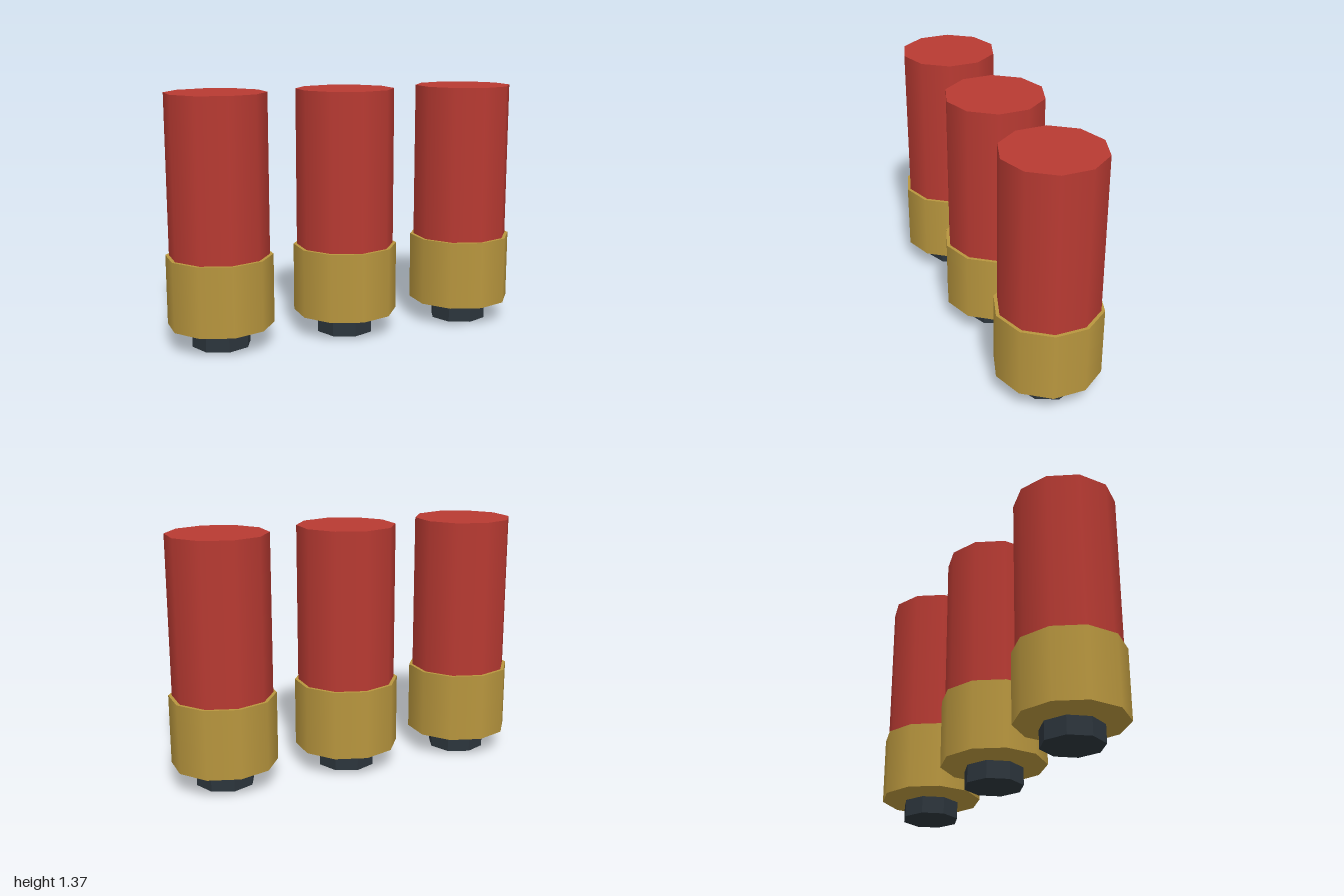
import * as THREE from 'three';

const red = new THREE.MeshStandardMaterial({ name: 'red casing', color: 0xb83a32 });
const brass = new THREE.MeshStandardMaterial({ name: 'brass', color: 0xb8963e });
const dark = new THREE.MeshStandardMaterial({ name: 'dark steel', color: 0x2c353c });
dark.flatShading = true;

// Upright cylinder between two heights
function addCylinder(parent, name, material, radius, y0, y1, sides) {
  const mesh = new THREE.Mesh(new THREE.CylinderGeometry(radius, radius, y1 - y0, sides), material);
  mesh.name = name;
  mesh.position.y = (y0 + y1) / 2;
  parent.add(mesh);
}

function createShell() {
  const shell = new THREE.Group();
  shell.name = 'shell';
  addCylinder(shell, 'casing', red, 0.271, 0.49, 1.373, 10);
  addCylinder(shell, 'brassBase', brass, 0.29, 0.12, 0.503, 10);
  addCylinder(shell, 'primer', dark, 0.163, 0, 0.098, 8);
  return shell;
}

export function createModel() {
  const model = new THREE.Group();
  model.name = 'shells';
  // Row of three
  for (const x of [-0.724, 0, 0.724]) {
    const shell = createShell();
    shell.position.x = x;
    model.add(shell);
  }
  return model;
}
